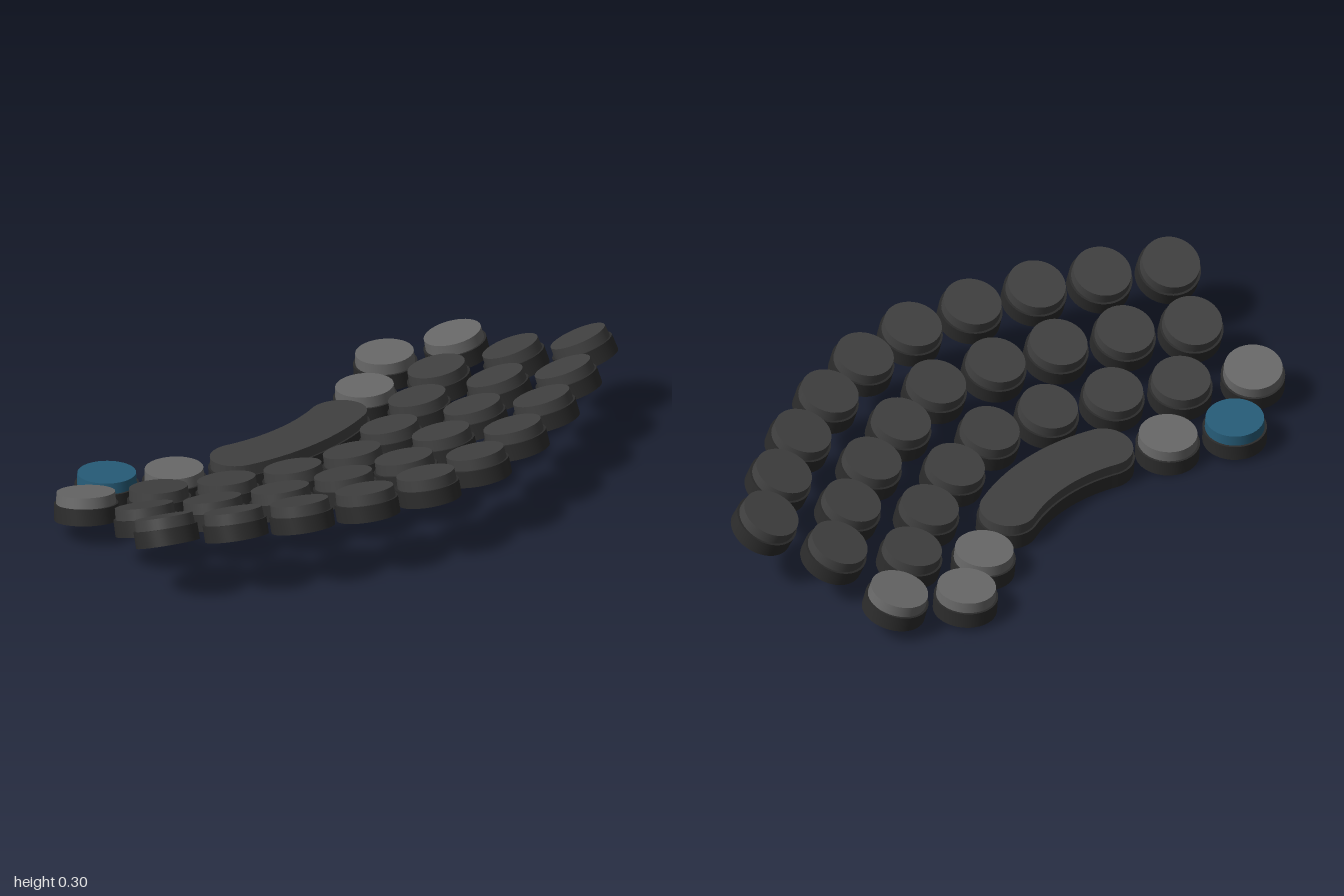
import * as THREE from 'three';
import { toCreasedNormals } from 'three/addons/utils/BufferGeometryUtils.js';

const H = 0.087, R = 0.1, CAP_R = 0.094, SKIRT = 0.052, RECESS = 0.032;
const UP = new THREE.Vector3(0, 1, 0);
const mat = (color, side = THREE.FrontSide) => new THREE.MeshStandardMaterial({ color, side });

export function createModel() {
  const model = new THREE.Group();
  model.name = 'curvedKeyboard';
  const dark = mat(0x404040), light = mat(0x686868), blue = mat(0x265c78);
  const skirtMat = mat(0x2b2b2b, THREE.DoubleSide);

  // round key: slightly tapered cap in a ring-shaped skirt that is hollow below
  const capGeo = new THREE.CylinderGeometry(0.091, CAP_R, H - RECESS, 40).translate(0, RECESS / 2, 0);
  const skirtGeo = toCreasedNormals(new THREE.LatheGeometry([
    [CAP_R, -H / 2], [R, -H / 2], [R, -H / 2 + SKIRT], [0.092, -H / 2 + SKIRT], [CAP_R, -H / 2],
  ].map(([x, y]) => new THREE.Vector2(x, y)), 40), 0.6);

  function addMesh(parent, geo, material, name) {
    const mesh = new THREE.Mesh(geo, material);
    mesh.name = name;
    parent.add(mesh);
  }

  // x, z locate the top face; nx, nz lean the key towards the middle
  function addKey(name, x, y, z, nx, nz, material) {
    const n = new THREE.Vector3(nx, Math.sqrt(1 - nx * nx - nz * nz), nz);
    const key = new THREE.Group();
    key.name = name;
    key.position.set(x - nx * H / 2, y, z - nz * H / 2);
    key.quaternion.setFromUnitVectors(UP, n);
    addMesh(key, capGeo, material, 'keyCap');
    addMesh(key, skirtGeo, skirtMat, 'keySkirt');
    model.add(key);
  }

  // three curved rows: [x, z] of one half, height and lean from middle to end
  const rows = [
    { name: 'frontRowKey', y: [0.222, 0.221], nx: 0.15, nz: [0.26, 0.39],
      at: [[0.107, 0.443], [0.318, 0.39], [0.521, 0.31], [0.71, 0.21], [0.892, 0.09]] },
    { name: 'middleRowKey', y: [0.166, 0.152], nx: 0.14, nz: [0.26, 0.33],
      at: [[0, 0.236], [0.21, 0.184], [0.413, 0.113], [0.608, 0.013], [0.788, -0.104]] },
    { name: 'innerRowKey', y: [0.106, 0.1], nx: 0.1, nz: [0.26, 0.2],
      at: [[0, 0.006], [0.207, -0.044], [0.41, -0.128], [0.598, -0.236]] },
  ];
  for (const row of rows) {
    const end = row.at[row.at.length - 1][0];
    for (const [x, z] of row.at) {
      const t = x / end;
      const y = THREE.MathUtils.lerp(...row.y, t);
      const nz = -THREE.MathUtils.lerp(...row.nz, t * t);
      for (const s of x ? [1, -1] : [1]) addKey(row.name, s * x, y, z, -s * row.nx * t, nz, dark);
    }
  }

  // thumb clusters, one key on the -x side in blue
  const thumbs = [
    ['innerThumbKey', 0.41, 0.053, -0.36, 0.02, -0.07],
    ['backThumbKey', 0.598, 0.066, -0.465, 0.04, -0.05],
    ['outerThumbKey', 0.789, 0.104, -0.361, 0.14, -0.18],
  ];
  for (const s of [1, -1]) {
    for (const [name, x, y, z, nx, nz] of thumbs) {
      addKey(name, s * x, y, z, -s * nx, nz, s < 0 && name === 'backThumbKey' ? blue : light);
    }
  }

  // curved bar: an arc-shaped slot outline of half width w
  const arcR = 0.63, arcA = 0.348, mid = -Math.PI / 2;
  function outline(w, target = new THREE.Shape()) {
    const a0 = mid - arcA, a1 = mid + arcA;
    const cap = (a) => [arcR * Math.cos(a), arcR + arcR * Math.sin(a)];
    target.absarc(0, arcR, arcR + w, a0, a1, false);
    target.absarc(...cap(a1), w, a1, a1 + Math.PI, false);
    target.absarc(0, arcR, arcR - w, a1, a0, true);
    target.absarc(...cap(a0), w, a0 + Math.PI, a0 + 2 * Math.PI, false);
    return target;
  }
  const slab = (shape, y0, y1) => toCreasedNormals(
    new THREE.ExtrudeGeometry(shape, { depth: y1 - y0, bevelEnabled: false, curveSegments: 20 })
      .rotateX(-Math.PI / 2).translate(0, y0, 0), 0.6);

  const bar = new THREE.Group();
  bar.name = 'spaceBar';
  bar.position.set(0, 0.064, -0.234);
  bar.rotation.x = -0.08;
  const ring = outline(0.096);
  ring.holes.push(outline(0.089, new THREE.Path()));
  addMesh(bar, slab(outline(0.089), -H / 2 + RECESS, H / 2), dark, 'barCap');
  addMesh(bar, slab(ring, -H / 2, -H / 2 + SKIRT), skirtMat, 'barSkirt');
  model.add(bar);

  return model;
}
